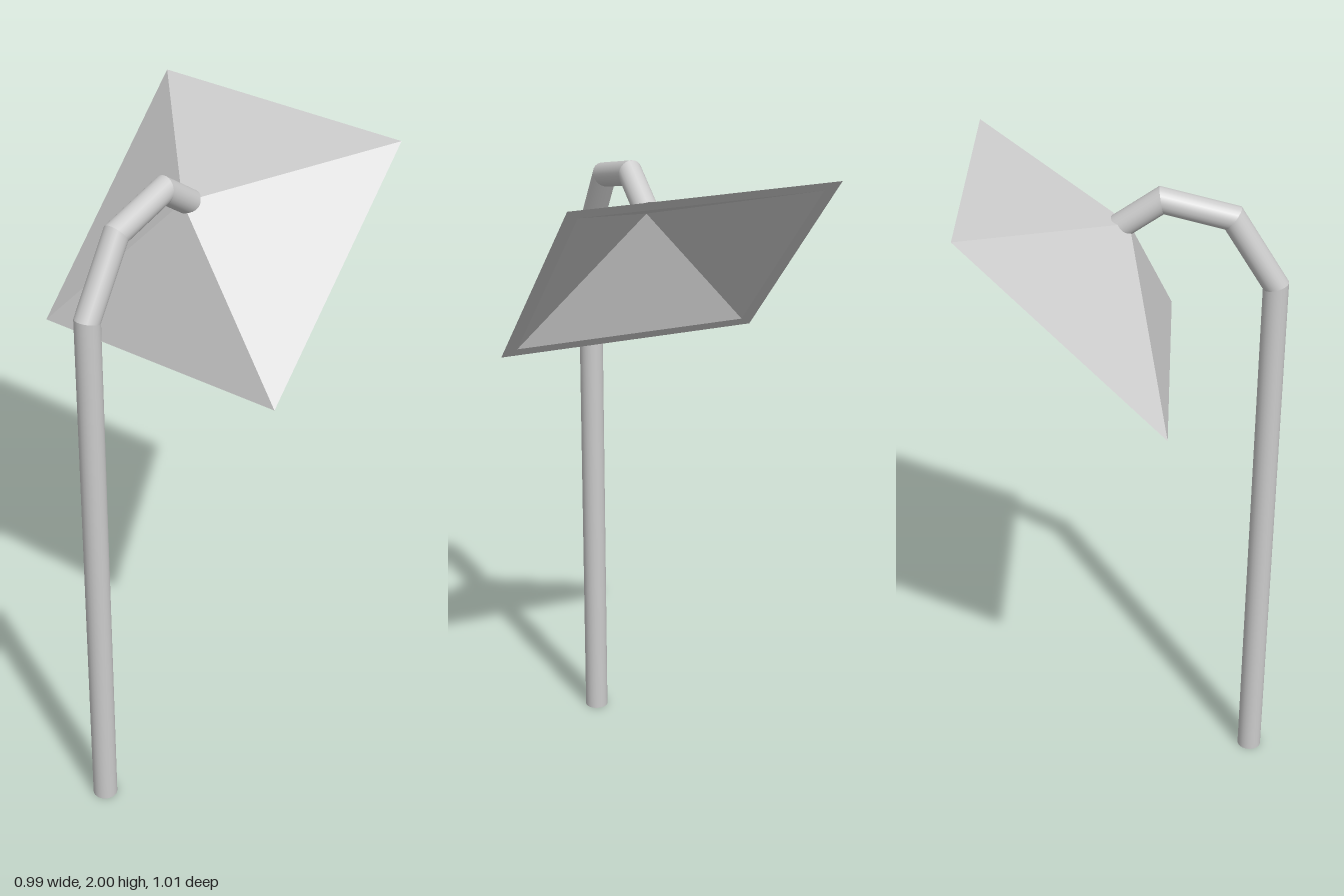
import * as THREE from 'three';

const V = (x, y, z) => new THREE.Vector3(x, y, z);
const material = new THREE.MeshStandardMaterial({ color: 0xcccccc });
const flat = new THREE.MeshStandardMaterial({ color: 0xcccccc, flatShading: true });
const R = 0.037;
const UP = V(0, 1, 0);

function addMesh(group, name, geometry, mat) {
  const mesh = new THREE.Mesh(geometry, mat);
  mesh.name = name;
  group.add(mesh);
}

// Straight tube whose end rings are slid along its axis onto the mitre planes
function mitredTube(a, b, normalA, normalB) {
  const d = b.clone().sub(a).normalize();
  const g = new THREE.CylinderGeometry(R, R, a.distanceTo(b), 24, 1, true);
  g.applyQuaternion(new THREE.Quaternion().setFromUnitVectors(UP, d));
  const mid = a.clone().add(b).multiplyScalar(0.5);
  g.translate(mid.x, mid.y, mid.z);
  const pos = g.attributes.position, p = V(0, 0, 0);
  for (let i = 0; i < pos.count; i++) {
    p.fromBufferAttribute(pos, i);
    const atB = p.clone().sub(mid).dot(d) > 0;
    const [end, n] = atB ? [b, normalB] : [a, normalA];
    p.addScaledVector(d, end.clone().sub(p).dot(n) / d.dot(n));
    pos.setXYZ(i, p.x, p.y, p.z);
  }
  return g;
}

function cap(center, dir) {
  const g = new THREE.CircleGeometry(R, 24);
  g.applyQuaternion(new THREE.Quaternion().setFromUnitVectors(V(0, 0, 1), dir));
  return g.translate(center.x, center.y, center.z);
}

export function createModel() {
  const model = new THREE.Group();

  // Pole and bent arm, all in one vertical plane: [distance along arm, height]
  const path = [[0, 0], [0, 1.685], [0.13, 1.892], [0.332, 1.942], [0.452, 1.857]]
    .map(([s, y]) => V(-0.46 + 0.805 * s, y, 0.351 - 0.593 * s));
  const dirs = path.slice(1).map((p, i) => p.clone().sub(path[i]).normalize());
  const planes = path.map((_, i) =>
    (dirs[i - 1] || dirs[i]).clone().add(dirs[i] || dirs[i - 1]).normalize());
  const names = ['pole', 'lowerArm', 'middleArm', 'upperArm'];
  names.forEach((name, i) => addMesh(model, name,
    mitredTube(path[i], path[i + 1], planes[i], planes[i + 1]), material));
  addMesh(model, 'poleBase', cap(path[0], V(0, -1, 0)), material);
  addMesh(model, 'armEnd', cap(path[4], dirs[3]), material);

  // Tilted pyramid shade: outer shell, flat rim and hollow inside
  const center = V(0.01, 1.705, 0);
  const normal = V(-0.572, 0.702, 0.422).normalize();
  const outer = [V(0, 2, -0.505), V(0.49, 2, 0.162), V(0.02, 1.41, 0.505), V(-0.47, 1.41, -0.162)];
  const inner = outer.map(p => center.clone().lerp(p, 0.9));
  const outerApex = center.clone().addScaledVector(normal, 0.233);
  const innerApex = center.clone().addScaledVector(normal, 0.2);
  const shell = [], rim = [], hollow = [];
  for (let i = 0; i < 4; i++) {
    const j = (i + 1) % 4;
    shell.push(outer[j], outer[i], outerApex);
    rim.push(outer[i], outer[j], inner[j], outer[i], inner[j], inner[i]);
    hollow.push(inner[i], inner[j], innerApex);
  }
  const shade = new THREE.Group();
  shade.name = 'shade';
  for (const [name, points] of [['shadeShell', shell], ['shadeRim', rim], ['shadeInside', hollow]]) {
    const g = new THREE.BufferGeometry().setFromPoints(points);
    g.computeVertexNormals();
    addMesh(shade, name, g, flat);
  }
  model.add(shade);
  return model;
}
